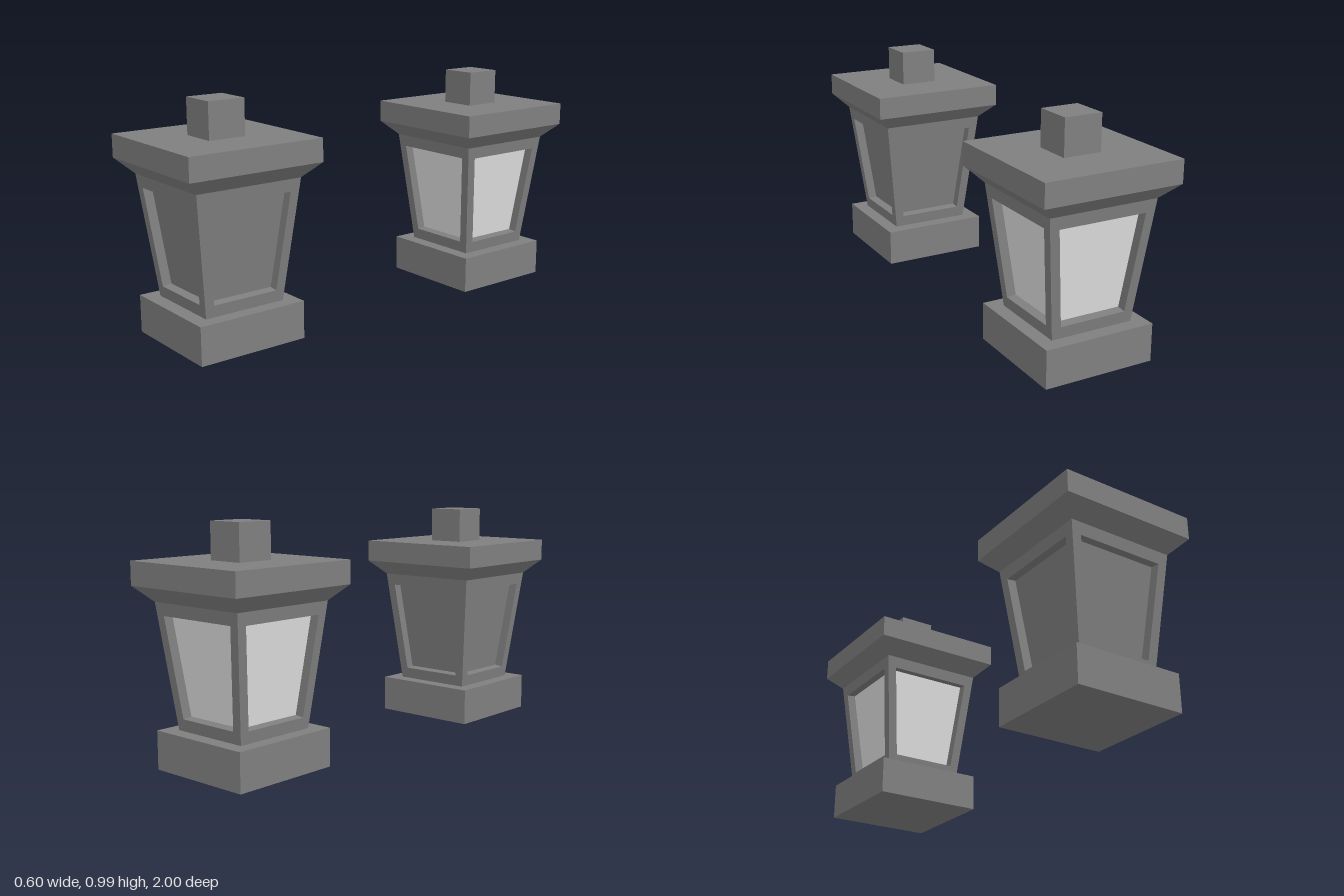
import * as THREE from 'three';

export function createModel() {
  const stone = new THREE.MeshStandardMaterial({ color: 0x7f7f7f });
  stone.name = 'dark grey';
  const glow = new THREE.MeshStandardMaterial({ color: 0xe0e0e0 });
  glow.name = 'pale grey';

  const Y0 = 0.16, Y1 = 0.672;      // bottom and top of the tapered body
  const W0 = 0.18, W1 = 0.237;      // half widths there
  const DEPTH = 0.04;               // how far the panes are set back
  const half = y => W0 + (W1 - W0) * (y - Y0) / (Y1 - Y0);

  // Corners of a trapezoid on the sloping +z side, anticlockwise
  const ring = (yb, wb, yt, wt) => [[-wb, yb], [wb, yb], [wt, yt], [-wt, yt]]
    .map(([x, y]) => new THREE.Vector3(x, y, half(y)));
  const outer = ring(Y0, W0, Y1, W1);
  const inner = ring(0.21, 0.145, 0.62, 0.191);
  const inward = new THREE.Vector3(0, W1 - W0, -(Y1 - Y0)).normalize().multiplyScalar(DEPTH);
  const recessed = inner.map(p => p.clone().add(inward));

  function quads(list) {
    const pts = list.flatMap(([a, b, c, d]) => [a, b, c, a, c, d]);
    const g = new THREE.BufferGeometry().setFromPoints(pts);
    g.computeVertexNormals();
    return g;
  }
  const between = (a, b) => a.map((p, i) => [p, a[(i + 1) % 4], b[(i + 1) % 4], b[i]]);

  const frameGeo = quads([...between(outer, inner), ...between(inner, recessed)]);
  const paneGeo = quads([recessed]);

  function add(group, name, geo, mat) {
    const m = new THREE.Mesh(geo, mat);
    m.name = name;
    group.add(m);
    return m;
  }

  // Box from y0 to y1 with a square plan
  function block(group, name, h, y0, y1) {
    add(group, name, new THREE.BoxGeometry(h * 2, y1 - y0, h * 2), stone).position.y = (y0 + y1) / 2;
  }

  function lantern(name, z, paneMat) {
    const g = new THREE.Group();
    g.name = name;
    g.position.z = z;
    block(g, 'base', 0.241, 0, Y0);
    // Four framed sides with recessed panes
    for (let i = 0; i < 4; i++) {
      const side = new THREE.Group();
      side.name = 'side' + (i + 1);
      side.rotation.y = i * Math.PI / 2;
      add(side, 'frame', frameGeo, stone);
      add(side, 'pane', paneGeo, paneMat);
      g.add(side);
    }
    // Flared underside of the roof
    const flare = new THREE.CylinderGeometry(0.3 * Math.SQRT2, W1 * Math.SQRT2, 0.735 - Y1, 4, 1, true)
      .rotateY(Math.PI / 4).toNonIndexed();
    flare.computeVertexNormals();
    add(g, 'roofFlare', flare, stone).position.y = (0.735 + Y1) / 2;
    block(g, 'roofSlab', 0.3, 0.735, 0.832);
    block(g, 'knob', 0.082, 0.832, 0.985);
    return g;
  }

  const model = new THREE.Group();
  model.name = 'lanternPair';
  model.add(lantern('unlitLantern', 0.7, stone), lantern('litLantern', -0.7, glow));
  return model;
}
